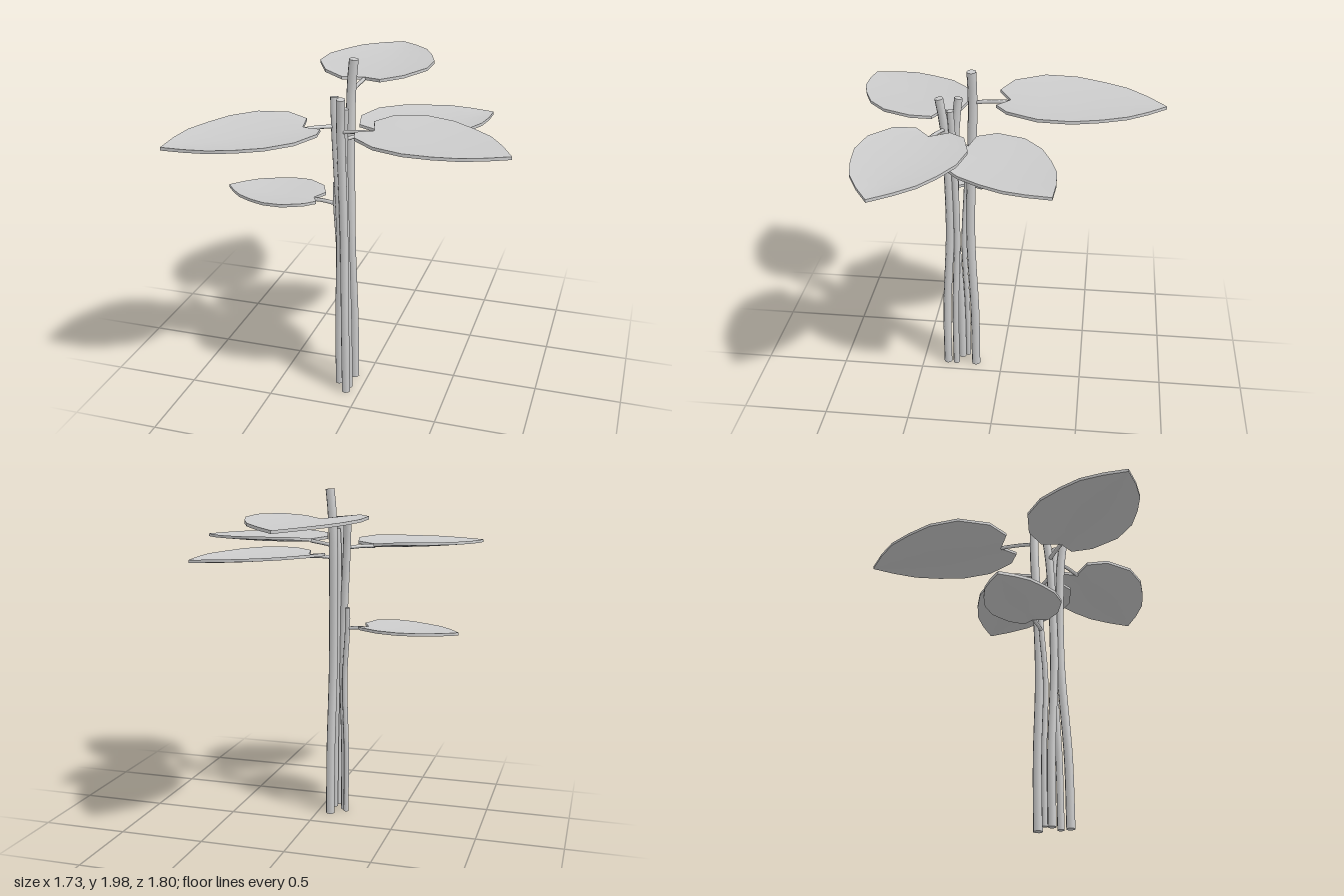
import * as THREE from 'three';
import { toCreasedNormals } from 'three/addons/utils/BufferGeometryUtils.js';

const material = new THREE.MeshStandardMaterial({ color: 0xcccccc, side: THREE.DoubleSide });
const vec = (x, y, z) => new THREE.Vector3(x, y, z);

// Right half of a unit-length leaf: distance along midrib, half width
const OUTLINE = [[-0.08, 0.13], [0, 0.27], [0.2, 0.375], [0.41, 0.375],
  [0.59, 0.315], [0.75, 0.24], [0.88, 0.13], [1, 0]];

// Thin leaf blade folded along its midrib, pointing to +x, with a notched base
function leafGeometry(length, thickness = 0.017) {
  const pos = [], tri = [];
  const add = (u, w, top) => pos.push(u * length,
    Math.abs(w) * length * 0.12 - 0.012 * Math.sin(Math.PI * Math.max(0, u)) + (top ? thickness : 0),
    w * length);
  for (const side of [-1, 1]) {
    const start = pos.length / 3;
    const quad = (a, b, c, d) => {
      const q = side > 0 ? [a, b, c, a, c, d] : [a, c, b, a, d, c];
      tri.push(...q.map(i => i + start));
    };
    // Each row: midrib top, edge top, edge bottom, midrib bottom
    for (const [u, w] of OUTLINE) {
      const m = Math.max(0, u);
      add(m, 0, true);
      add(u, w * side, true);
      add(u, w * side, false);
      add(m, 0, false);
    }
    for (let i = 0; i < OUTLINE.length - 1; i++) {
      const a = i * 4, b = a + 4;
      for (let k = 0; k < 3; k++) quad(a + k, a + k + 1, b + k + 1, b + k);
    }
    quad(0, 3, 2, 1); // wall of the base notch
  }
  const g = new THREE.BufferGeometry();
  g.setAttribute('position', new THREE.Float32BufferAttribute(pos, 3));
  g.setIndex(tri);
  return toCreasedNormals(g, 0.6);
}

// Capped round stalk through the given points
function stalk(name, points, radius, segments, sides) {
  const group = new THREE.Group();
  group.name = name;
  const curve = new THREE.CatmullRomCurve3(points);
  const bark = new THREE.Mesh(new THREE.TubeGeometry(curve, segments, radius, sides), material);
  bark.name = name + 'Side';
  group.add(bark);
  for (const t of [0, 1]) {
    const cap = new THREE.Mesh(new THREE.CircleGeometry(radius, sides), material);
    const out = curve.getTangentAt(t).multiplyScalar(t ? 1 : -1);
    cap.name = name + 'Cap';
    cap.position.copy(curve.getPointAt(t));
    cap.quaternion.setFromUnitVectors(vec(0, 0, 1), out);
    group.add(cap);
  }
  return group;
}

// One stem that stands straight at the foot, sways at the waist and carries one leaf from its joint
function shoot(name, radius, foot, waist, joint, top, leafBase, leafTip) {
  const group = new THREE.Group();
  group.name = name;
  const knee = foot.clone().lerp(waist, 0.1).setY(0.4);
  group.add(stalk('stem', [foot, knee, waist, joint, top], radius, 20, 8));

  const bend = joint.clone().lerp(leafBase, 0.5);
  bend.y += 0.004;
  group.add(stalk('leafStalk', [joint, bend, leafBase], 0.011, 6, 6));

  // Leaf blade turned so its midrib runs from base to tip
  const span = leafTip.clone().sub(leafBase);
  const leaf = new THREE.Mesh(leafGeometry(span.length()), material);
  leaf.name = 'leaf';
  leaf.position.copy(leafBase);
  leaf.position.y -= 0.005;
  leaf.rotation.y = Math.atan2(-span.z, span.x);
  group.add(leaf);
  return group;
}

export function createModel() {
  const model = new THREE.Group();
  model.name = 'leafyPlant';
  model.add(
    shoot('backShoot', 0.027, vec(-0.08, 0, 0.165), vec(-0.088, 0.95, 0.187),
      vec(-0.087, 1.795, 0.163), vec(-0.07, 1.98, 0.165),
      vec(-0.08, 1.81, -0.05), vec(-0.08, 1.81, -0.9)),
    shoot('backLeftShoot', 0.02, vec(-0.075, 0, 0.29), vec(-0.09, 0.95, 0.27),
      vec(-0.09, 1.565, 0.283), vec(-0.08, 1.74, 0.29),
      vec(0.06, 1.585, 0.17), vec(0.61, 1.585, -0.33)),
    shoot('frontLeftShoot', 0.025, vec(-0.08, 0, 0.345), vec(-0.09, 1, 0.311),
      vec(-0.095, 1.62, 0.328), vec(-0.085, 1.81, 0.352),
      vec(0.11, 1.655, 0.38), vec(0.86, 1.655, 0.56)),
    shoot('frontRightShoot', 0.024, vec(-0.147, 0, 0.26), vec(-0.122, 1, 0.283),
      vec(-0.145, 1.63, 0.27), vec(-0.153, 1.79, 0.252),
      vec(-0.29, 1.635, 0.38), vec(-0.87, 1.635, 0.88)),
    shoot('lowShoot', 0.016, vec(-0.165, 0, 0.225), vec(-0.147, 0.85, 0.237),
      vec(-0.166, 1.155, 0.222), vec(-0.167, 1.28, 0.215),
      vec(-0.3, 1.162, 0.21), vec(-0.84, 1.162, 0.17)),
  );
  return model;
}
